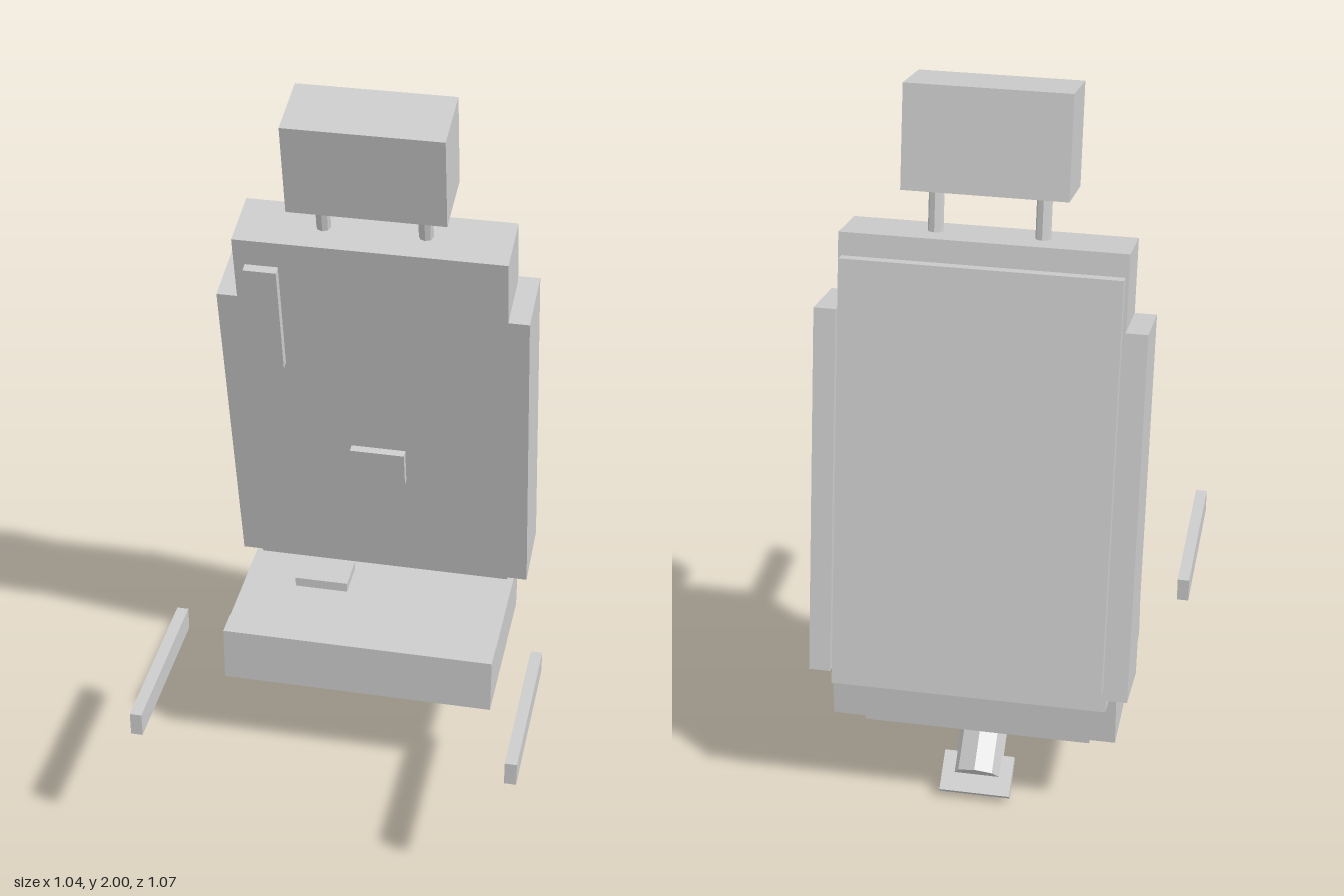
import * as THREE from 'three';

export function createModel() {
  const model = new THREE.Group();
  model.name = 'seat';
  const grey = new THREE.MeshStandardMaterial({ color: 0xcccccc, flatShading: true });
  grey.name = 'light grey';

  // Box given by its extents on each axis
  function block(parent, name, [x0, x1], [y0, y1], [z0, z1]) {
    const mesh = new THREE.Mesh(new THREE.BoxGeometry(x1 - x0, y1 - y0, z1 - z0), grey);
    mesh.position.set((x0 + x1) / 2, (y0 + y1) / 2, (z0 + z1) / 2);
    mesh.name = name;
    parent.add(mesh);
    return mesh;
  }
  const sym = (h) => [-h, h];

  // Seat base
  block(model, 'seatCushion', sym(0.385), [0.255, 0.412], [-0.433, 0]);
  block(model, 'seatFrontLip', sym(0.385), [0.255, 0.418], [0, 0.075]);
  block(model, 'underPlate', sym(0.31), [0.21, 0.255], [-0.39, -0.01]);
  block(model, 'seatBuckle', [-0.233, -0.08], [0.412, 0.44], [-0.298, -0.185]);

  // Tilted backrest, local origin at the front lower edge of the bolsters
  const back = new THREE.Group();
  back.name = 'backrest';
  back.position.set(0, 0.42, -0.336);
  back.rotation.x = 0.207;
  model.add(back);
  block(back, 'backCushion', sym(0.367), [-0.042, 1.19], [-0.174, 0]);
  block(back, 'rearPanel', sym(0.358), [0.019, 1.13], [-0.207, -0.174]);
  block(back, 'shoulderPad', [-0.337, -0.247], [0.769, 1.109], [0, 0.026]);
  block(back, 'frontBuckle', sym(0.077), [0.362, 0.476], [0, 0.022]);
  block(back, 'headrest', sym(0.211), [1.309, 1.576], [-0.179, 0.011]);

  for (const s of [-1, 1]) {
    const span = (a, b) => (s > 0 ? [a, b] : [-b, -a]);
    block(back, 'sideBolster', span(0.367, 0.424), [0, 0.994], [-0.192, 0]);
    block(model, 'armrest', span(0.49, 0.522), [0.4, 0.467], [0.057, 0.54]);
    const post = new THREE.Mesh(new THREE.CylinderGeometry(0.02, 0.02, 0.14, 8), grey);
    post.position.set(s * 0.137, 1.25, -0.087);
    post.name = 'headrestPost';
    back.add(post);
  }

  // Slanted octagonal stem with a thin foot plate at its lower end
  const stem = new THREE.Group();
  stem.name = 'stem';
  stem.position.set(0, 0.053, -0.385);
  stem.rotation.x = Math.atan2(0.209, 0.17);
  model.add(stem);
  const tube = new THREE.Mesh(new THREE.CylinderGeometry(0.066, 0.066, 0.268, 8), grey);
  tube.position.y = 0.134;
  tube.name = 'stemTube';
  stem.add(tube);
  block(stem, 'footPlate', sym(0.097), [-0.052, 0.06], sym(0.01));

  return model;
}
